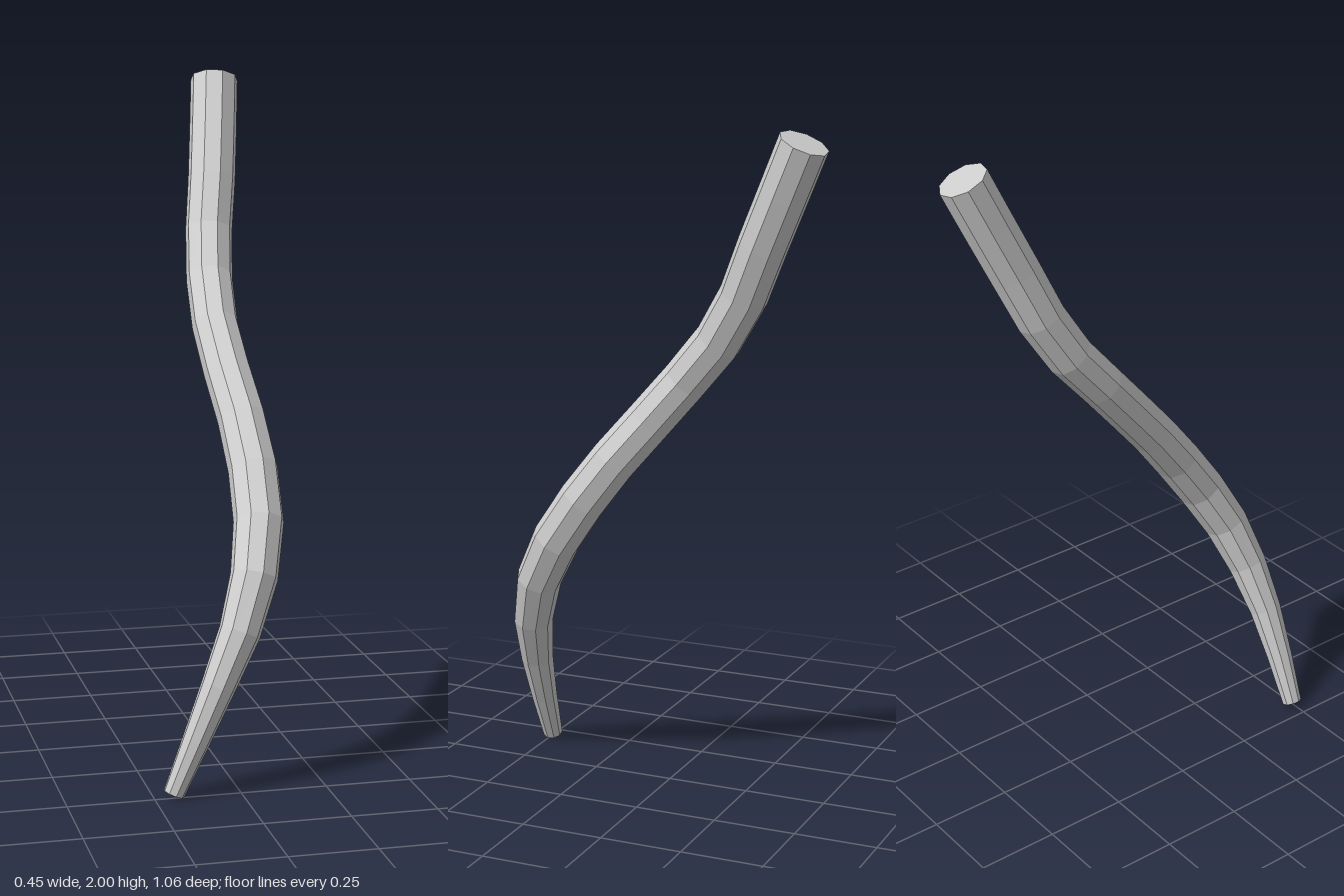
import * as THREE from 'three';

// Centre line of the stem from its narrow foot to its cut top: x, y, z, radius
const SECTIONS = [
  [-0.195, 0.014, 0.497, 0.03],
  [-0.07, 0.3, 0.485, 0.048],
  [0.02, 0.5, 0.45, 0.062],
  [0.07, 0.65, 0.392, 0.07],
  [0.097, 0.8, 0.3, 0.073],
  [0.09, 1.0, 0.152, 0.07],
  [0.06, 1.25, -0.062, 0.068],
  [0.075, 1.45, -0.222, 0.07],
  [0.114, 1.7, -0.34, 0.072],
  [0.15, 1.974, -0.464, 0.072],
];
const RINGS = 14;
const SIDES = 9;

// Radius at a given height, interpolated between the sections
function radiusAt(y) {
  for (let i = 1; i < SECTIONS.length; i++) {
    const a = SECTIONS[i - 1], b = SECTIONS[i];
    if (y <= b[1]) {
      return THREE.MathUtils.lerp(a[3], b[3], Math.max(0, (y - a[1]) / (b[1] - a[1])));
    }
  }
  return SECTIONS[SECTIONS.length - 1][3];
}

// Tapered, faceted tube with flat ends
function stemGeometry() {
  const curve = new THREE.CatmullRomCurve3(SECTIONS.map(([x, y, z]) => new THREE.Vector3(x, y, z)));
  const tube = new THREE.TubeGeometry(curve, RINGS, 1, SIDES, false);
  const pos = tube.attributes.position;
  const v = new THREE.Vector3();

  // Shrink each unit ring to its own radius
  for (let i = 0; i <= RINGS; i++) {
    const centre = curve.getPointAt(i / RINGS);
    const r = radiusAt(centre.y) * 1.02;
    for (let j = 0; j <= SIDES; j++) {
      const k = i * (SIDES + 1) + j;
      v.fromBufferAttribute(pos, k).sub(centre).multiplyScalar(r).add(centre);
      pos.setXYZ(k, v.x, v.y, v.z);
    }
  }

  // Close both ends
  const index = Array.from(tube.index.array);
  const last = RINGS * (SIDES + 1);
  for (let j = 1; j < SIDES - 1; j++) {
    index.push(0, j, j + 1);
    index.push(last, last + j + 1, last + j);
  }
  tube.setIndex(index);

  const flat = tube.toNonIndexed();
  flat.computeVertexNormals();
  return flat;
}

export function createModel() {
  const group = new THREE.Group();
  group.name = 'curvedStem';
  const grey = new THREE.MeshStandardMaterial({ color: 0xcccccc, flatShading: true });
  grey.name = 'light grey';
  const stem = new THREE.Mesh(stemGeometry(), grey);
  stem.name = 'stem';
  group.add(stem);
  return group;
}
